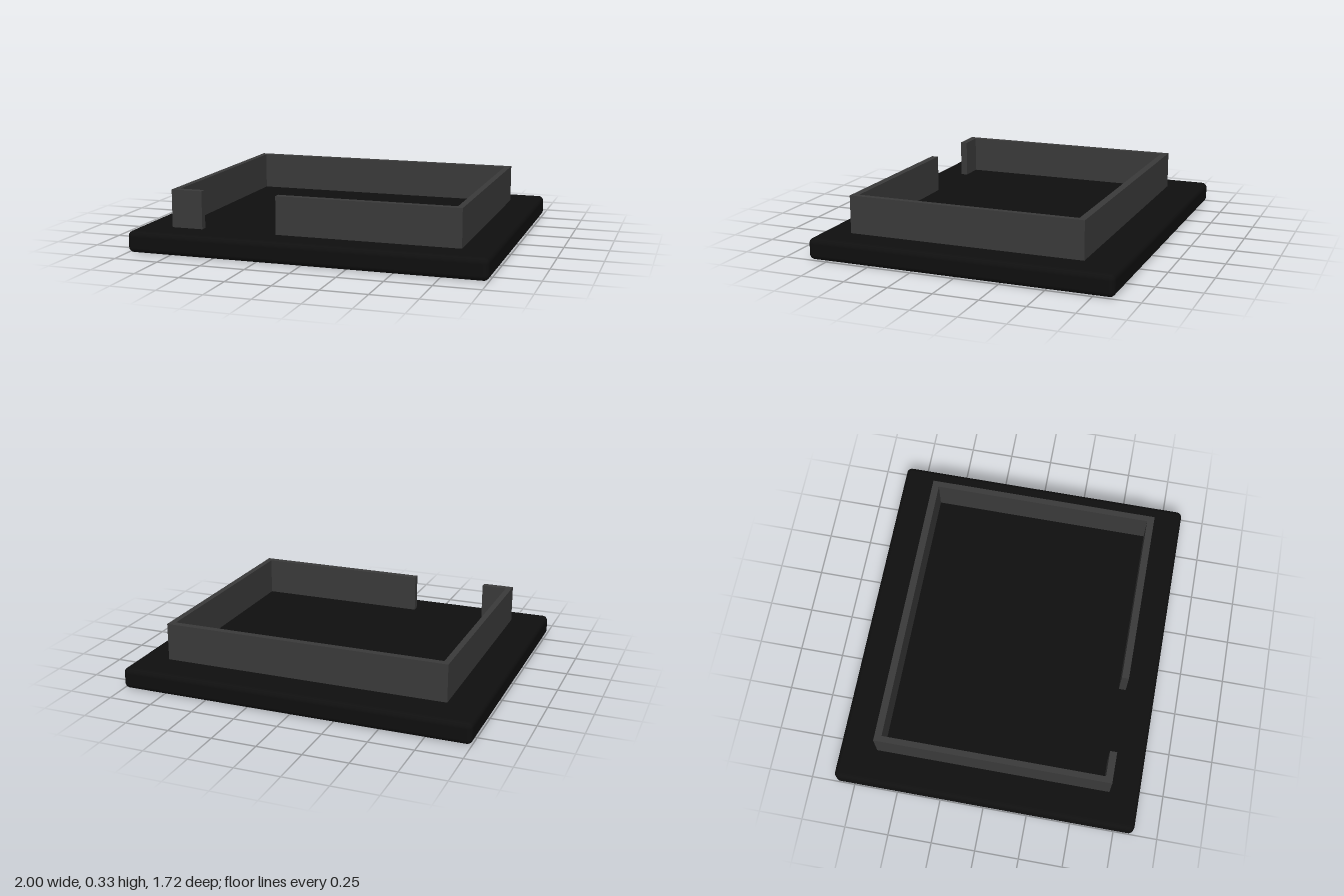
import * as THREE from 'three';
import { RoundedBoxGeometry } from 'three/addons/geometries/RoundedBoxGeometry.js';

const BASE_HEIGHT = 0.12;
const WALL_TOP = 0.332;

function addPart(group, name, geometry, color) {
  const mesh = new THREE.Mesh(geometry, new THREE.MeshStandardMaterial({ color }));
  mesh.name = name;
  group.add(mesh);
  return mesh;
}

export function createModel() {
  const model = new THREE.Group();
  model.name = 'walledPlatform';

  // Base slab with softly rounded edges
  const base = addPart(model, 'baseSlab',
    new RoundedBoxGeometry(2, BASE_HEIGHT, 1.72, 4, 0.03), 0x0f0f0f);
  base.position.y = BASE_HEIGHT / 2;

  // Wall outline seen from above, open at the front doorway
  const left = 0.826, right = -0.807, back = -0.648, front = 0.69;
  const side = 0.034, end = 0.04;
  const doorRight = -0.628, doorLeft = -0.196;
  const outline = [
    [doorLeft, front], [left, front], [left, back], [right, back],
    [right, front], [doorRight, front], [doorRight, front - end],
    [right + side, front - end], [right + side, back + end],
    [left - side, back + end], [left - side, front - end], [doorLeft, front - end],
  ];
  const shape = new THREE.Shape(outline.map(([x, z]) => new THREE.Vector2(x, -z)));
  const wallGeometry = new THREE.ExtrudeGeometry(shape, {
    depth: WALL_TOP - BASE_HEIGHT, bevelEnabled: false,
  });
  wallGeometry.rotateX(-Math.PI / 2);
  const wall = addPart(model, 'perimeterWall', wallGeometry, 0x3a3a3a);
  wall.position.y = BASE_HEIGHT;

  return model;
}
